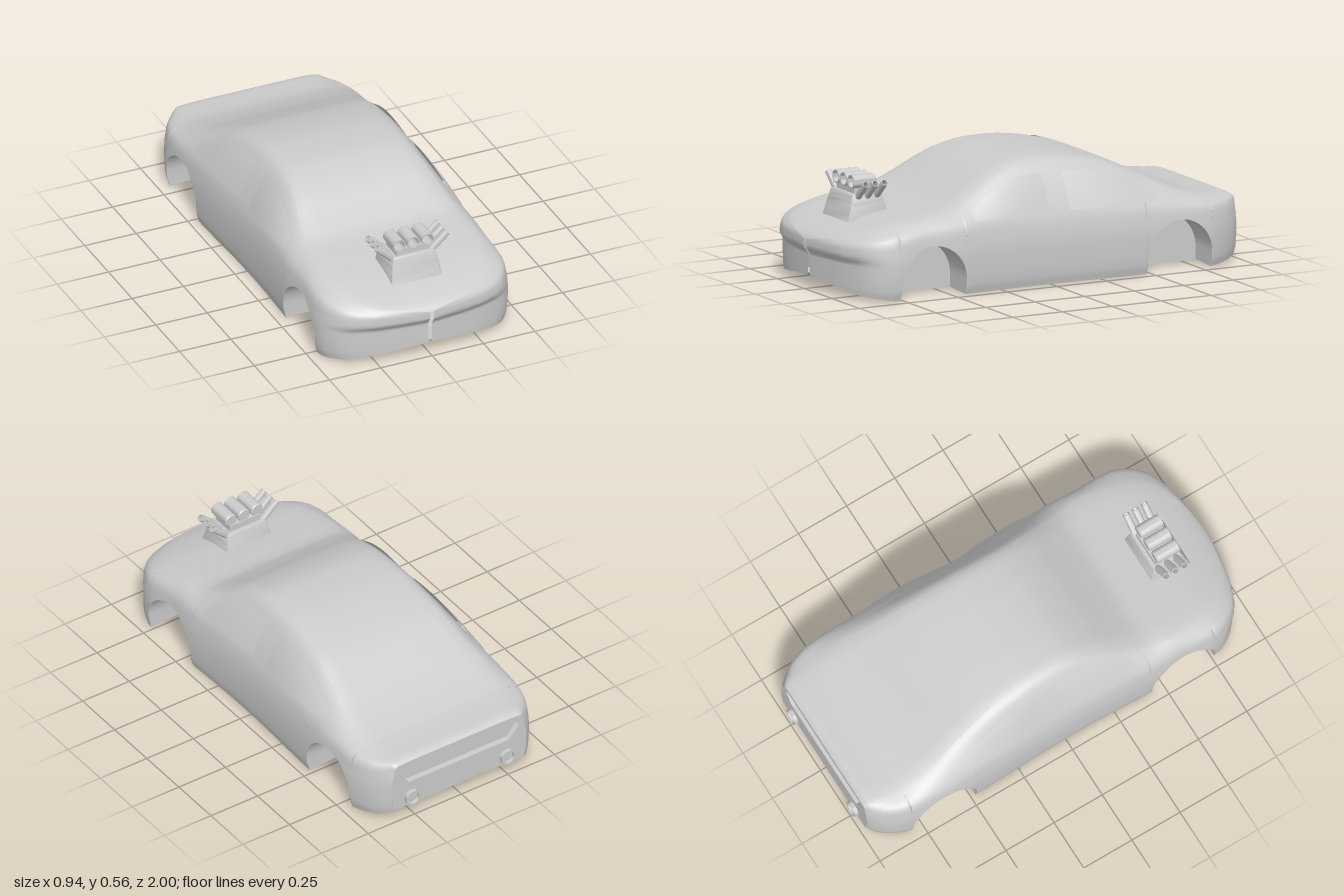
import * as THREE from 'three';
import { toCreasedNormals } from 'three/addons/utils/BufferGeometryUtils.js';
import { RoundedBoxGeometry } from 'three/addons/geometries/RoundedBoxGeometry.js';

const mat = new THREE.MeshStandardMaterial({ color: 0xcccccc, side: THREE.DoubleSide });
const V = (x, y, z = 0) => new THREE.Vector3(x, y, z);
const clamp = THREE.MathUtils.clamp;

// Body stations: z, half width, bottom, belt height, roof half width, top
const STATIONS = [
  [-0.98, 0.36, 0.06, 0.27, 0.3, 0.3], [-0.96, 0.385, 0.04, 0.275, 0.31, 0.314],
  [-0.9, 0.43, 0.025, 0.285, 0.32, 0.318], [-0.8, 0.465, 0.012, 0.29, 0.34, 0.33],
  [-0.65, 0.475, 0.01, 0.3, 0.35, 0.38], [-0.5, 0.472, 0.01, 0.315, 0.335, 0.45],
  [-0.35, 0.468, 0.01, 0.32, 0.325, 0.515], [-0.15, 0.46, 0.01, 0.325, 0.315, 0.558],
  [0, 0.457, 0.01, 0.325, 0.31, 0.565], [0.12, 0.457, 0.01, 0.325, 0.31, 0.553],
  [0.25, 0.46, 0.01, 0.325, 0.32, 0.505], [0.38, 0.465, 0.01, 0.32, 0.335, 0.43],
  [0.47, 0.468, 0.01, 0.315, 0.35, 0.385], [0.6, 0.465, 0.01, 0.305, 0.36, 0.362],
  [0.77, 0.465, 0.01, 0.285, 0.34, 0.335], [0.86, 0.43, 0.02, 0.27, 0.31, 0.31],
  [0.93, 0.36, 0.03, 0.25, 0.25, 0.285], [0.97, 0.25, 0.045, 0.24, 0.17, 0.265],
  [0.99, 0.12, 0.06, 0.23, 0.08, 0.25], [1, 0.01, 0.07, 0.22, 0.006, 0.235],
];
const ARCHES = [0.6, -0.64], ARCH_R = 0.163, ARCH_Y = 0.08;

// Smooth interpolation of one station column at z
function param(z, k) {
  const S = STATIONS, n = S.length;
  let i = 0;
  while (i < n - 2 && z > S[i + 1][0]) i++;
  const slope = (a, b) => (S[b][k] - S[a][k]) / (S[b][0] - S[a][0]);
  const h = S[i + 1][0] - S[i][0], u = clamp((z - S[i][0]) / h, 0, 1);
  const m0 = slope(Math.max(i - 1, 0), i + 1) * h, m1 = slope(i, Math.min(i + 2, n - 1)) * h;
  const u2 = u * u, u3 = u2 * u;
  return (2 * u3 - 3 * u2 + 1) * S[i][k] + (u3 - 2 * u2 + u) * m0 + (3 * u2 - 2 * u3) * S[i + 1][k] + (u3 - u2) * m1;
}

// Half cross-section from sill to roof centre
function section(z) {
  const [w, b, belt, roof, top] = [1, 2, 3, 4, 5].map(k => param(z, k));
  const side = f => b + f * (belt - b), up = f => belt + f * (top - belt);
  return new THREE.CatmullRomCurve3([
    V(w * 0.965, b), V(w * 0.988, side(0.14)), V(w, side(0.5)), V(w * 0.99, side(0.74)), V(w * 0.95, belt),
    V(roof + 0.04 * Math.min(1, w / 0.4), up(0.7)), V(roof * 0.96, up(0.93)), V(roof * 0.6, up(0.99)), V(0, top),
  ]);
}

// Curve parameter where the section reaches height y
function paramAt(curve, y) {
  let lo = 0, hi = 1;
  if (curve.getPoint(0).y >= y) return 0;
  for (let i = 0; i < 24; i++) {
    const m = (lo + hi) / 2;
    if (curve.getPoint(m).y < y) lo = m; else hi = m;
  }
  return lo;
}

// Scoops the lower front bumper back beneath the nose lip
function noseScoop(p) {
  const s = clamp((p.z - 0.82) / 0.14, 0, 1), f = clamp((0.2 - p.y) / 0.03, 0, 1);
  p.z -= 0.022 * s * f;
  return p;
}

// Surface through rows of points
function loft(rows) {
  const c = rows[0].length, idx = [];
  for (let i = 0; i < rows.length - 1; i++)
    for (let j = 0; j < c - 1; j++) {
      const a = i * c + j, d = a + c;
      idx.push(a, a + 1, d, a + 1, d + 1, d);
    }
  const g = new THREE.BufferGeometry().setFromPoints(rows.flat());
  g.setIndex(idx);
  g.computeVertexNormals();
  return g;
}

// Open pipe along +z with a hollow mouth
function pipeGeometry(r, length, hollow = 0.6) {
  const q = r * 0.8;
  const prof = [[0, 0], [r * 0.85, 0], [r, r * 0.2], [r, length], [q, length], [q, length * (1 - hollow)], [0, length * (1 - hollow)]];
  const g = new THREE.LatheGeometry(prof.map(p => new THREE.Vector2(...p)), 24);
  return toCreasedNormals(g.rotateX(Math.PI / 2), 0.6);
}

export function createModel() {
  const car = new THREE.Group();
  const add = (name, geo, parent = car) => {
    const m = new THREE.Mesh(geo, mat);
    m.name = name;
    parent.add(m);
    return m;
  };

  // Lengthwise stations, with extra ones around the wheel arches
  const zs = [];
  for (let i = 0; i <= 80; i++) {
    const z = -0.98 + i * 1.94 / 80;
    if (ARCHES.every(c => Math.abs(z - c) > ARCH_R + 0.004)) zs.push([z, 0]);
  }
  for (const z of [-0.97, 0.97, 0.98, 0.987, 0.993, 0.997, 1]) zs.push([z, 0]);
  for (const c of ARCHES) {
    zs.push([c - ARCH_R - 0.001, 0], [c + ARCH_R + 0.001, 0]);
    for (let i = 0; i <= 24; i++) {
      const a = Math.PI * i / 24;
      zs.push([c + ARCH_R * Math.cos(a), ARCH_Y + ARCH_R * Math.sin(a)]);
    }
  }
  zs.sort((a, b) => a[0] - b[0]);

  // Outer skin and underside share the same sill edge
  const skin = [], under = [], N = 40;
  for (const [z, arch] of zs) {
    const curve = section(z), t0 = paramAt(curve, arch), half = [];
    for (let j = 0; j <= N; j++) {
      const p = curve.getPoint(t0 + (1 - t0) * j / N);
      half.push(noseScoop(V(p.x, p.y, z)));
    }
    const mirror = half.slice(0, N).reverse().map(p => V(-p.x, p.y, p.z));
    skin.push([...half, ...mirror]);
    const e = half[0], b = param(z, 2), xi = Math.min(0.31, e.x * 0.85);
    const belly = [V(xi, b + 0.008, e.z), V(xi, e.y + (arch ? 0 : 0.008), e.z), e];
    under.push([...belly.slice().reverse().map(p => V(-p.x, p.y, p.z)), V(0, b + 0.012, e.z), ...belly]);
  }
  add('bodyShell', loft(skin));
  add('undersideAndWheelWells', toCreasedNormals(loft(under), 0.6));

  // Rear fascia with a recessed panel
  const outline = new THREE.Shape(skin[0].map(p => new THREE.Vector2(p.x, p.y)));
  const hex = [[-0.3, 0.272], [0.3, 0.272], [0.322, 0.245], [0.27, 0.185], [-0.27, 0.185], [-0.322, 0.245]].map(p => new THREE.Vector2(...p));
  outline.holes.push(new THREE.Path(hex));
  add('rearFascia', new THREE.ExtrudeGeometry(outline, { depth: 0.03, bevelEnabled: false })).position.z = -0.982;
  add('rearPanel', new THREE.ShapeGeometry(new THREE.Shape(hex)).rotateY(Math.PI)).position.z = -0.955;

  // Slightly domed side windows
  const sideWindow = (name, z0, z1, s) => {
    const rows = [];
    for (let i = 0; i <= 20; i++) {
      const u = i / 20, z = z0 + (z1 - z0) * u, row = [], curve = section(z);
      const yTop = Math.min(0.495, param(z, 5) - 0.055);
      for (let j = 0; j <= 10; j++) {
        const y = 0.332 + (yTop - 0.332) * j / 10;
        const p = curve.getPoint(paramAt(curve, y));
        row.push(V(s * (p.x + 0.002 + 0.013 * Math.sin(Math.PI * u)), y, z));
      }
      rows.push(s > 0 ? row : row.reverse());
    }
    add(name, loft(rows));
  };
  for (const [s, n] of [[1, 'left'], [-1, 'right']]) {
    sideWindow(n + 'FrontWindow', 0, 0.38, s);
    sideWindow(n + 'RearWindow', -0.55, -0.1, s);
  }

  // Windscreen and rear glass, bowed in plan and laid just over the body
  const screen = (name, z0, z1, x0, x1, bow) => {
    const rows = [];
    for (let i = 0; i <= 16; i++) {
      const u = i / 16, row = [];
      for (let j = 0; j <= 24; j++) {
        const k = 1 - j / 12, z = z0 + (z1 - z0) * u - bow * k * k;
        const curve = section(z), x = (x0 + (x1 - x0) * u) * k;
        let lo = 0.5, hi = 1;
        for (let n = 0; n < 22; n++) {
          const m = (lo + hi) / 2;
          if (curve.getPoint(m).x > Math.abs(x)) lo = m; else hi = m;
        }
        row.push(V(x, curve.getPoint(lo).y + 0.003, z));
      }
      rows.push(row);
    }
    add(name, loft(rows));
  };
  screen('windscreen', 0.21, 0.465, 0.31, 0.36, 0.03);
  screen('rearGlass', -0.65, -0.32, 0.35, 0.3, -0.02);

  // Engine rising through the bonnet
  const engine = new THREE.Group();
  engine.name = 'engine';
  car.add(engine);
  const base = new RoundedBoxGeometry(2, 0.17, 2, 4, 0.08);
  const pos = base.attributes.position;
  for (let i = 0; i < pos.count; i++) {
    const f = clamp(pos.getY(i) / 0.17 + 0.5, 0, 1);
    pos.setX(i, pos.getX(i) * (0.13 - 0.024 * f));
    pos.setZ(i, pos.getZ(i) * (0.145 - 0.07 * Math.sqrt(f)));
  }
  base.computeVertexNormals();
  add('engineBase', toCreasedNormals(base, 0.7), engine).position.set(0, 0.347, 0.74);
  add('intakePlate', new THREE.BoxGeometry(0.16, 0.035, 0.11), engine).position.set(0, 0.445, 0.74);
  for (const x of [-0.069, 0, 0.069])
    add('intakeHorn', pipeGeometry(0.031, 0.115), engine).position.set(x, 0.485, 0.69);
  for (const s of [-1, 1])
    for (const z of [0.69, 0.737, 0.784]) {
      const p = add('enginePipe', pipeGeometry(0.016, 0.11, 0.4), engine);
      p.position.set(s * 0.09, 0.415, z);
      p.lookAt(s * 0.17, 0.487, z);
    }

  // Tail pipes
  for (const x of [-0.255, 0.255]) {
    const p = add('tailPipe', pipeGeometry(0.038, 0.1, 0.7));
    p.position.set(x, 0.1, -0.9);
    p.rotation.y = Math.PI;
  }
  return car;
}
